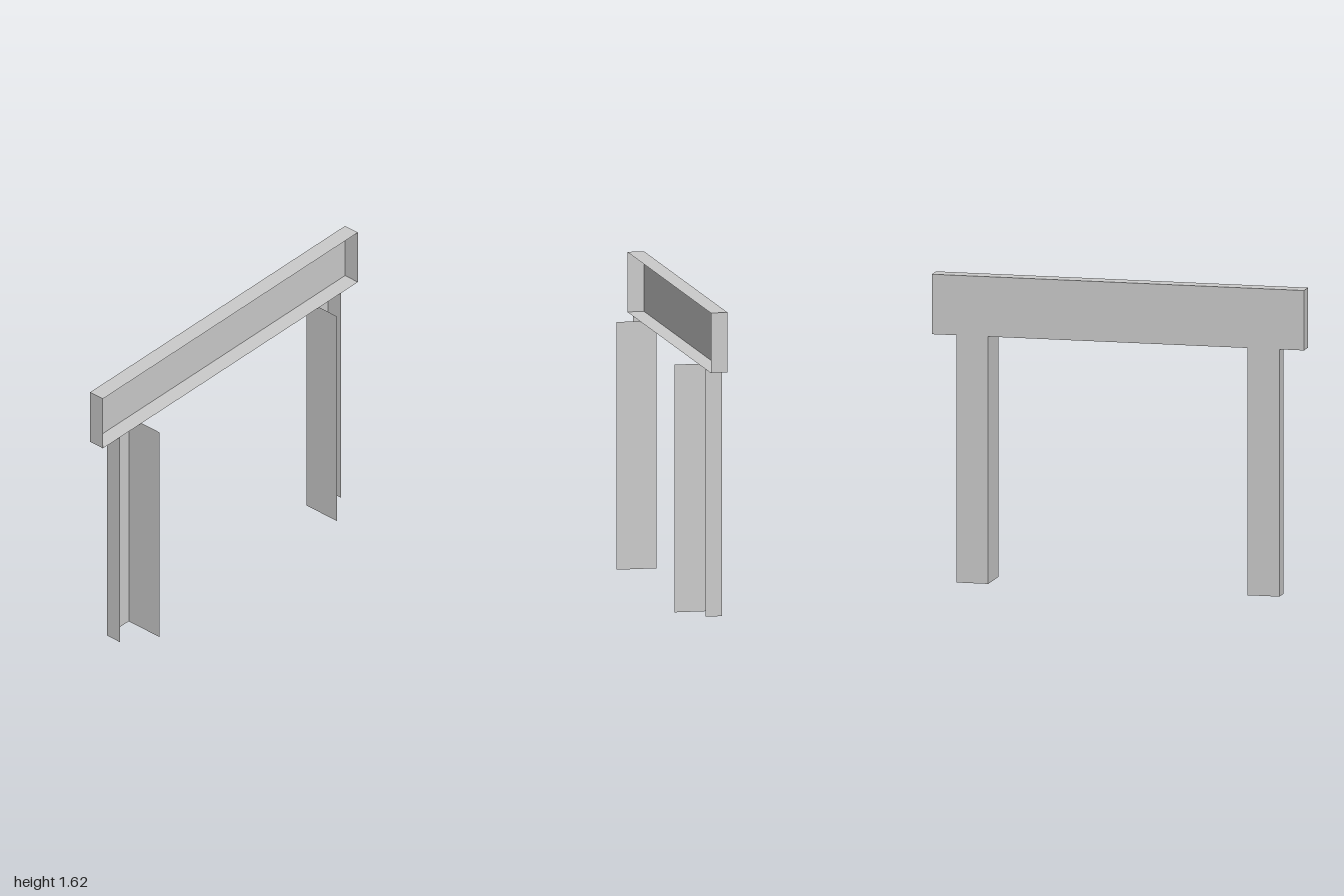
import * as THREE from 'three';

const BACK = -0.107, LIP = -0.018, FRONT = 0.107;
const TOP = 1.625, SOFFIT = 1.308;
const INNER = 0.697, OUTER = 0.868;

const material = new THREE.MeshStandardMaterial({
  color: 0xcccccc, flatShading: true, side: THREE.DoubleSide,
});

// Thin sheet spanning two opposite corners; one of the three extents is zero
function sheet(name, [x0, y0, z0], [x1, y1, z1]) {
  const w = x1 - x0, h = y1 - y0, d = z1 - z0;
  let geometry;
  if (d === 0) geometry = new THREE.PlaneGeometry(w, h).rotateY(Math.PI);
  else if (w === 0) geometry = new THREE.PlaneGeometry(d, h).rotateY(Math.PI / 2);
  else geometry = new THREE.PlaneGeometry(w, d).rotateX(-Math.PI / 2);
  geometry.translate((x0 + x1) / 2, (y0 + y1) / 2, (z0 + z1) / 2);
  const mesh = new THREE.Mesh(geometry, material);
  mesh.name = name;
  return mesh;
}

// Shallow tray, open to the front
function createHeader() {
  const header = new THREE.Group();
  header.name = 'header';
  header.add(
    sheet('headerBack', [-1, SOFFIT, BACK], [1, TOP, BACK]),
    sheet('headerTop', [-1, TOP, BACK], [1, TOP, LIP]),
    sheet('headerSoffit', [-1, SOFFIT, BACK], [1, SOFFIT, LIP]),
    sheet('headerRightEnd', [-1, SOFFIT, BACK], [-1, TOP, LIP]),
    sheet('headerLeftEnd', [1, SOFFIT, BACK], [1, TOP, LIP]),
  );
  return header;
}

// Channel post: narrow outer return, deep inner reveal
function createPost(side) {
  const post = new THREE.Group();
  post.name = side > 0 ? 'leftPost' : 'rightPost';
  const [a, b] = [INNER * side, OUTER * side];
  post.add(
    sheet('postBack', [Math.min(a, b), 0, BACK], [Math.max(a, b), SOFFIT, BACK]),
    sheet('postOuterReturn', [b, 0, BACK], [b, SOFFIT, LIP]),
    sheet('postInnerReveal', [a, 0, BACK], [a, SOFFIT, FRONT]),
  );
  return post;
}

export function createModel() {
  const model = new THREE.Group();
  model.name = 'doorSurround';
  model.add(createHeader(), createPost(1), createPost(-1));
  return model;
}
